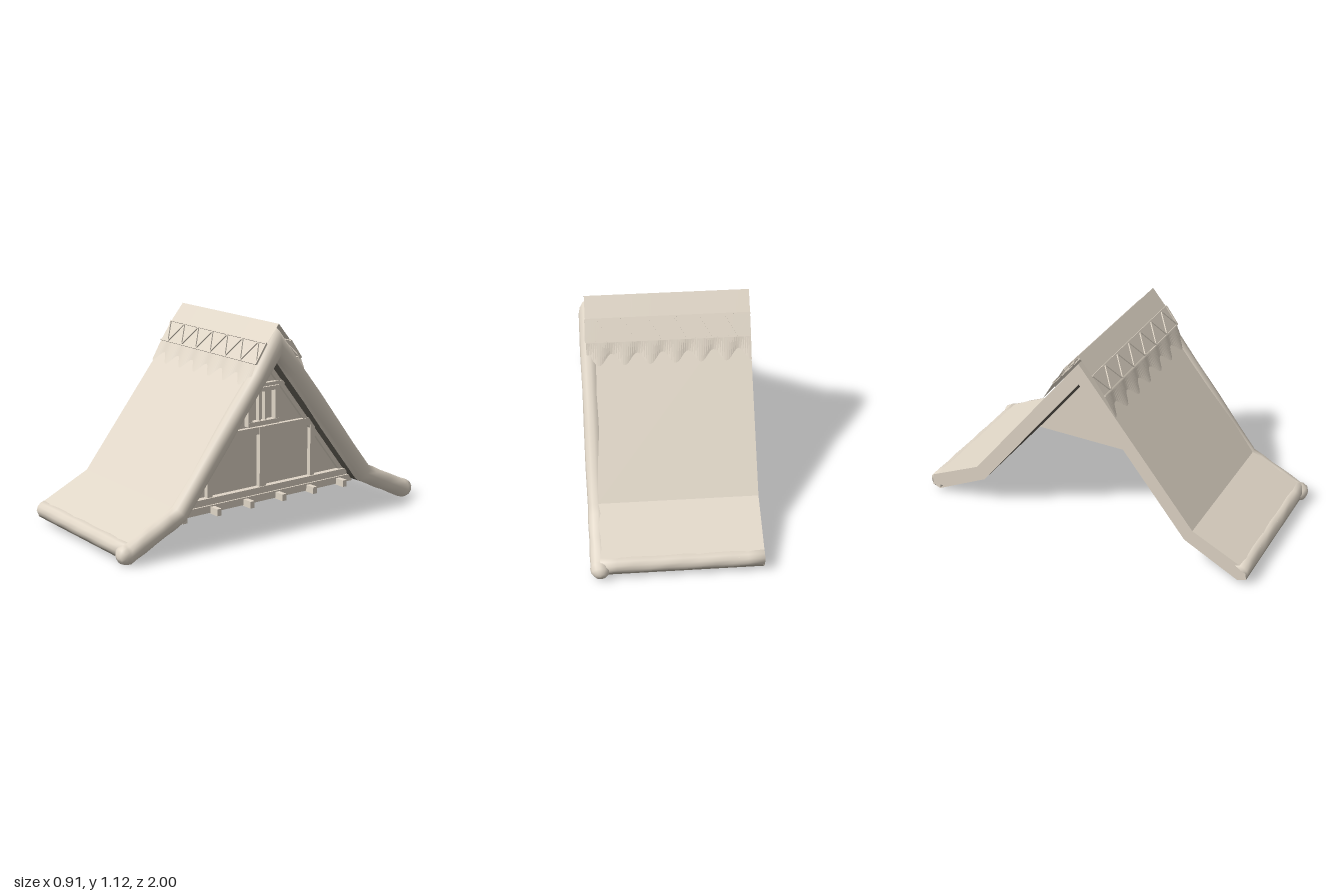
import * as THREE from 'three';

const clay = new THREE.MeshStandardMaterial({ color: 0xe0d6c7, side: THREE.DoubleSide });
clay.name = 'clay';
const darkLining = new THREE.MeshStandardMaterial({ color: 0x68635a, side: THREE.DoubleSide });
darkLining.name = 'darkLining';

function add(parent, name, geometry, material = clay) {
  const m = new THREE.Mesh(geometry, material);
  m.name = name;
  parent.add(m);
  return m;
}

// Solid with an outline in (z, y), running from x0 to x1
function slab(points, x0, x1) {
  const shape = new THREE.Shape(points.map(([z, y]) => new THREE.Vector2(z, y)));
  const g = new THREE.ExtrudeGeometry(shape, { depth: x1 - x0, bevelEnabled: false });
  return g.rotateY(-Math.PI / 2).translate(x1, 0, 0);
}

// Open faceted sheet: rows run from back to front, columns along x
function sheet(rows, cols, x0, x1, profile) {
  const pos = [];
  const put = (r, c) => {
    const x = x0 + (x1 - x0) * c / cols, [z, y] = profile(r, x);
    pos.push(x, y, z);
  };
  for (let r = 0; r < rows; r++)
    for (let c = 0; c < cols; c++)
      for (const [dr, dc] of [[0, 0], [1, 0], [0, 1], [1, 0], [1, 1], [0, 1]]) put(r + dr, c + dc);
  const g = new THREE.BufferGeometry();
  g.setAttribute('position', new THREE.Float32BufferAttribute(pos, 3));
  g.computeVertexNormals();
  return g;
}

// Rough log: mitred rings along a planar path of [x, y, z, radius]
function log(path, binormal, sides = 12) {
  const P = path.map(p => new THREE.Vector3(p[0], p[1], p[2]));
  const pos = [], index = [];
  P.forEach((p, i) => {
    const t0 = P[i].clone().sub(P[Math.max(i - 1, 0)]).normalize();
    const t1 = P[Math.min(i + 1, P.length - 1)].clone().sub(P[i]).normalize();
    const t = t0.clone().add(t1).normalize();
    const miter = 1 / Math.max(t.dot(t1.lengthSq() ? t1 : t0), 0.5);
    const n = binormal.clone().cross(t);
    for (let j = 0; j < sides; j++) {
      const a = j / sides * Math.PI * 2;
      const r = path[i][3] * (1 + 0.035 * Math.sin(i * 2.3 + j * 1.7));
      const v = p.clone().addScaledVector(n, Math.cos(a) * r * miter)
        .addScaledVector(binormal, Math.sin(a) * r);
      pos.push(v.x, v.y, v.z);
      if (i < P.length - 1) {
        const k = (j + 1) % sides, A = i * sides, B = A + sides;
        index.push(A + j, A + k, B + j, A + k, B + k, B + j);
      }
    }
  });
  const g = new THREE.BufferGeometry();
  g.setAttribute('position', new THREE.Float32BufferAttribute(pos, 3));
  g.setIndex(index);
  g.computeVertexNormals();
  return g;
}

// Insert steps between path corners
function subdivide(corners, steps) {
  const out = [];
  for (let i = 0; i < corners.length - 1; i++)
    for (let s = 0; s < steps; s++)
      out.push(corners[i].map((v, k) => v + (corners[i + 1][k] - v) * s / steps));
  out.push(corners[corners.length - 1]);
  return out;
}

export function createModel() {
  const model = new THREE.Group();
  model.name = 'gableRoof';
  const X0 = -0.455, X1 = 0.42, ROOF_END = 0.4, RIDGE = 1.08, PERIOD = 0.135;

  // Bent roof: outer skin, dark lining that wraps under the eaves, closed ends
  const outer = [[-0.965, 0.105], [-0.66, 0.25], [0, RIDGE], [0.66, 0.25], [0.965, 0.105]];
  const inner = [[-0.972, 0.04], [-0.925, 0.022], [-0.615, 0.18], [0, 0.96],
    [0.615, 0.18], [0.925, 0.022], [0.972, 0.04]];
  add(model, 'roofSkin', sheet(4, 1, X0, ROOF_END, r => outer[r]));
  add(model, 'roofLining', sheet(6, 1, X0, ROOF_END, r => inner[r]), darkLining);
  const outline = [...outer, ...[...inner].reverse()];
  add(model, 'roofOpenEnd', slab(outline, X0, X0 + 0.004));
  add(model, 'roofGableEnd', slab(outline, ROOF_END - 0.004, ROOF_END));

  // Log framing the gable, from eave to eave over the ridge
  const r = 0.052, half = [[0.4, 0.045, 0.99, 0.028], [0.4, 0.054, 0.972, 0.048],
    [0.4, 0.06, 0.945, 0.054]];
  const mirror = p => [p[0], p[1], -p[2], p[3]];
  const middle = subdivide([[0.4, 0.068, 0.925, r], [0.4, 0.21, 0.628, r],
    [0.4, 1.015, 0, r], [0.4, 0.21, -0.628, r], [0.4, 0.068, -0.925, r]], 5);
  const tip = [0.4, 0.044, 0.995, 0.0005];
  add(model, 'gableLog', log([tip, ...half, ...middle,
    ...half.map(mirror).reverse(), mirror(tip)], new THREE.Vector3(1, 0, 0)));

  // Logs along both eaves
  for (const s of [1, -1]) {
    const z = s * 0.935, y = 0.075, R = 0.045;
    const path = subdivide([[X0, y, z, R], [0.4, y, z, R]], 10);
    add(model, 'eaveLog', log([[X0, y, z, 0.0005], ...path, [0.401, y, z, 0.0005]],
      new THREE.Vector3(0, 0, 1)));
  }

  // Thin cover draped over the ridge, with a scalloped hem on both sides
  const drape = [[0, 1.126], [0.08, 1.03], [0.15, 0.93]];
  add(model, 'scallopedCover', sheet(6, 78, X0, X1, (row, x) => {
    const i = Math.abs(row - 3), s = Math.sign(row - 3);
    if (i < 3) return [s * drape[i][0], drape[i][1]];
    const y = 0.845 - 0.025 * Math.cos((x - X0) / PERIOD * Math.PI * 2);
    return [s * ((RIDGE - y) * 0.795 + 0.008), y];
  }));

  // Lattice trim lying on the cover
  const [[zTop, yTop], [zLow, yLow]] = [drape[1], drape[2]];
  const drop = -Math.hypot(zLow - zTop, yTop - yLow);
  for (const s of [1, -1]) {
    const side = new THREE.Group();
    side.name = s > 0 ? 'frontLattice' : 'backLattice';
    side.rotation.y = s > 0 ? 0 : Math.PI;
    const slope = new THREE.Group();
    slope.position.set(0, yTop, zTop);
    slope.rotation.x = -Math.atan2(zLow - zTop, yTop - yLow);
    side.add(slope);
    model.add(side);
    const rod = (xa, ya, xb, yb) => {
      const dx = s * (xb - xa), dy = yb - ya;
      const m = add(slope, 'latticeBar', new THREE.BoxGeometry(Math.hypot(dx, dy), 0.007, 0.01));
      m.position.set(s * (xa + xb) / 2, (ya + yb) / 2, s > 0 ? 0.002 : 0);
      m.rotation.z = Math.atan2(dy, dx);
    };
    rod(X0, 0, X1, 0);
    rod(X0, drop, X1, drop);
    for (let x = X0; x < X1 - 0.05; x += PERIOD) {
      rod(x, 0, x + PERIOD / 2, drop);
      rod(x + PERIOD / 2, drop, Math.min(x + PERIOD, X1), 0);
    }
  }

  // Recessed gable wall
  const gable = new THREE.Group();
  gable.name = 'gable';
  model.add(gable);
  add(gable, 'gableWall', slab([[-0.62, 0.17], [0.62, 0.17], [0, 0.97]], 0.235, 0.265));
  add(gable, 'floorPlate', slab([[-0.66, 0.13], [0.66, 0.13], [0.63, 0.17], [-0.63, 0.17]], 0.235, 0.285));

  // Timber on the wall, given by its z and y extents
  const timber = (name, z0, z1, y0, y1, x1 = 0.29) =>
    add(gable, name, new THREE.BoxGeometry(x1 - 0.25, y1 - y0, z1 - z0))
      .position.set((x1 + 0.25) / 2, (y0 + y1) / 2, (z0 + z1) / 2);
  timber('sillBeam', -0.6, 0.6, 0.18, 0.216, 0.3);
  timber('middleBeam', -0.36, 0.36, 0.51, 0.55);
  timber('collarBeam', -0.15, 0.15, 0.765, 0.787);
  timber('centerPost', -0.022, 0.022, 0.216, 0.55, 0.294);
  timber('upperPost', -0.02, 0.02, 0.785, 0.93);
  for (const s of [1, -1]) {
    timber('sidePost', s * 0.352 - 0.016, s * 0.352 + 0.016, 0.216, 0.51);
    timber('windowJamb', s * 0.092 - 0.013, s * 0.092 + 0.013, 0.56, 0.765, 0.3);
    timber('windowMullion', s * 0.02 - 0.006, s * 0.02 + 0.006, 0.58, 0.765);
    // Slim rafter against the wall
    const rafter = add(gable, 'rafter', new THREE.BoxGeometry(0.03, 0.024, 0.95));
    rafter.position.set(0.27, 0.555, s * 0.3);
    rafter.rotation.x = s * 0.9;
  }
  timber('windowSill', -0.105, 0.105, 0.56, 0.585, 0.302);
  timber('windowHead', -0.105, 0.105, 0.745, 0.768, 0.302);

  // Joist ends under the wall
  for (let i = 0; i < 6; i++)
    add(gable, 'joistEnd', new THREE.BoxGeometry(0.1, 0.038, 0.028))
      .position.set(0.295, 0.144, -0.55 + i * 0.22);

  return model;
}
